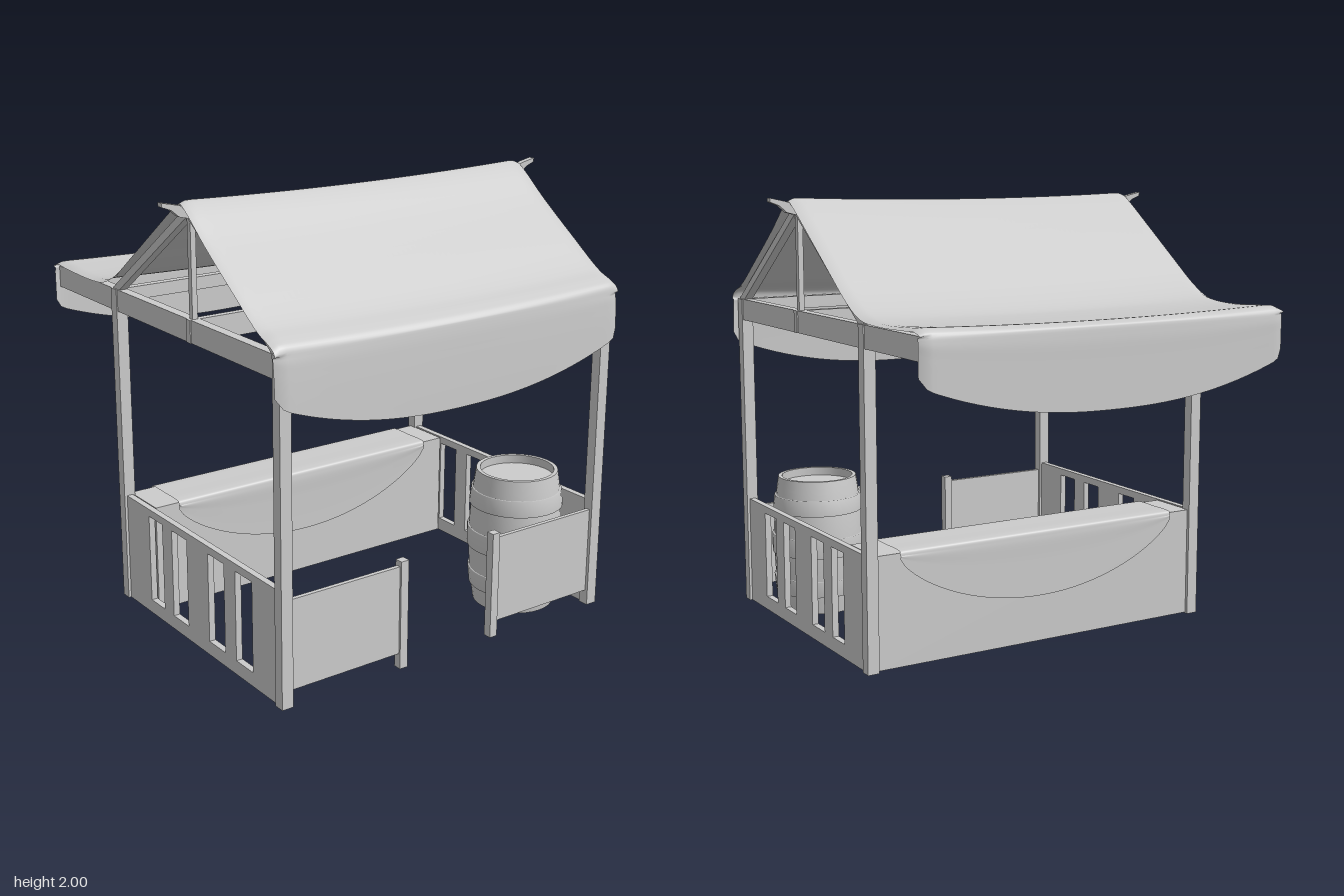
import * as THREE from 'three';

const grey = new THREE.MeshStandardMaterial({ color: 0xcccccc });
const thin = new THREE.MeshStandardMaterial({ color: 0xcccccc, side: THREE.DoubleSide });

export function createModel() {
  const root = new THREE.Group();

  const add = (name, geometry, material = grey) => {
    const mesh = new THREE.Mesh(geometry, material);
    mesh.name = name;
    root.add(mesh);
    return mesh;
  };

  // Box given by its limits on each axis
  const box = (name, x0, x1, y0, y1, z0, z1) => {
    const mesh = add(name, new THREE.BoxGeometry(Math.abs(x1 - x0), y1 - y0, z1 - z0));
    mesh.position.set((x0 + x1) / 2, (y0 + y1) / 2, (z0 + z1) / 2);
    return mesh;
  };

  // Sloping bar in the side plane between two [z, y] points
  const rafter = (name, x, a, b) => {
    const dz = b[0] - a[0], dy = b[1] - a[1];
    const mesh = add(name, new THREE.BoxGeometry(0.04, 0.035, Math.hypot(dz, dy)));
    mesh.position.set(x, (a[1] + b[1]) / 2, (a[0] + b[0]) / 2);
    mesh.rotation.x = -Math.atan2(dy, dz);
  };

  // Cloth: a [z, y] profile from front to back, swept across x and adjusted by a rule
  const cloth = (name, profile, halfWidth, rule) => {
    const curve = new THREE.CatmullRomCurve3(
      profile.map(([z, y]) => new THREE.Vector3(0, y, z)), false, 'centripetal');
    const geometry = new THREE.PlaneGeometry(1, 1, 64, 120);
    const pos = geometry.attributes.position, uv = geometry.attributes.uv;
    const p = new THREE.Vector3();
    for (let i = 0; i < pos.count; i++) {
      curve.getPoint(uv.getY(i), p);
      p.x = (uv.getX(i) * 2 - 1) * halfWidth;
      rule(p, Math.abs(p.x) / halfWidth);
      pos.setXYZ(i, p.x, p.y, p.z);
    }
    geometry.computeVertexNormals();
    add(name, geometry, thin);
  };

  // Side panel with four window slots, drawn as (z, y)
  const panelShape = new THREE.Shape();
  panelShape.moveTo(-0.37, 0).lineTo(0.89, 0).lineTo(0.89, 0.515).lineTo(-0.37, 0.515).closePath();
  for (const [a, b] of [[0.57, 0.70], [0.35, 0.48], [0.04, 0.17], [-0.165, -0.045]]) {
    const slot = new THREE.Path();
    slot.moveTo(a, 0.065).lineTo(a, 0.48).lineTo(b, 0.48).lineTo(b, 0.065).closePath();
    panelShape.holes.push(slot);
  }

  for (const s of [-1, 1]) {
    const side = s > 0 ? 'left' : 'right';
    // Posts and side frame
    box(side + 'FrontPost', s * 0.83, s * 0.885, 0, 1.5, 0.89, 0.94);
    box(side + 'BackPost', s * 0.83, s * 0.885, 0, 1.5, -0.42, -0.37);
    box(side + 'SideBeam', s * 0.835, s * 0.88, 1.4, 1.5, -0.95, 0.935);
    box(side + 'KingPost', s * 0.845, s * 0.87, 1.4, 1.95, 0.248, 0.274);
    rafter(side + 'FrontRafter', s * 0.857, [0.92, 1.49], [0.26, 1.95]);
    rafter(side + 'BackRafter', s * 0.857, [-0.4, 1.49], [0.26, 1.95]);

    // Slotted side panel
    const panel = new THREE.ExtrudeGeometry(panelShape, { depth: 0.03, bevelEnabled: false });
    panel.rotateY(-Math.PI / 2);
    add(side + 'SidePanel', panel).position.x = s * 0.857 + 0.015;

    // Low front fence with its gate post
    box(side + 'FrontPanel', s * 0.27, s * 0.835, 0.07, 0.475, 0.905, 0.925);
    box(side + 'GatePost', s * 0.235, s * 0.275, 0, 0.5, 0.895, 0.935);
  }

  // Cross beams
  box('middleCrossBeam', -0.885, 0.885, 1.4, 1.5, 0.245, 0.277);
  box('frontCrossBeam', -0.84, 0.84, 1.44, 1.5, 0.895, 0.93);
  box('backCrossBeam', -0.84, 0.84, 1.44, 1.5, -0.415, -0.375);

  // Ridge pole with tapered, upturned ends
  const half = [[0.84, 1.915], [0.92, 1.935], [0.955, 1.965], [1, 1.982], [1, 2], [0.93, 1.985], [0.86, 1.965]];
  const ridge = new THREE.Shape(
    [...half, ...half.map(([x, y]) => [-x, y]).reverse()].map(([x, y]) => new THREE.Vector2(x, y)));
  add('ridgePole', new THREE.ExtrudeGeometry(ridge, { depth: 0.03, bevelEnabled: false }))
    .position.z = 0.246;

  // Roof cloth: sags in the middle, curls down at the sides, scalloped hems front and back
  cloth('roofCloth', [
    [0.965, 1.14], [0.962, 1.26], [0.958, 1.38], [0.952, 1.48], [0.94, 1.535], [0.9, 1.56], [0.83, 1.59],
    [0.65, 1.715], [0.45, 1.86], [0.3, 1.98], [0.26, 2], [0.22, 1.98], [0.05, 1.86], [-0.15, 1.715],
    [-0.32, 1.595], [-0.42, 1.545], [-0.52, 1.525], [-0.65, 1.52], [-0.82, 1.53], [-0.91, 1.533],
    [-0.945, 1.515], [-0.955, 1.46], [-0.956, 1.36], [-0.956, 1.26], [-0.956, 1.15],
  ], 0.91, (p, t) => {
    const curl = Math.max(0, (t - 0.95) / 0.05) ** 2;
    if (p.y < 1.5) {
      const drop = 1 - 0.45 * t ** 2.3 - 0.1 * curl;
      p.y = 1.5 - (1.5 - p.y) * drop;
      p.z *= 1 - 0.02 * curl;
    } else {
      const fade = Math.min(1, (p.y - 1.5) / 0.03);
      p.y -= fade * (0.018 * (1 - t * t) + 0.015 * curl);
    }
  });

  // Counter and the cloth laid over it
  box('counter', -0.835, 0.835, 0.005, 0.512, -0.405, -0.165);
  cloth('counterCloth', [
    [-0.155, 0.22], [-0.155, 0.3], [-0.154, 0.4], [-0.153, 0.49], [-0.16, 0.517], [-0.185, 0.522],
    [-0.285, 0.522], [-0.385, 0.522], [-0.408, 0.517], [-0.414, 0.49], [-0.414, 0.4], [-0.414, 0.3], [-0.414, 0.22],
  ], 0.72, (p, t) => {
    if (p.y < 0.5) p.y = 0.5 - (0.5 - p.y) * (0.06 + 0.94 * (1 - t * t) ** 0.75);
  });

  // Barrel: bulging staves, recessed lid and raised hoops
  const barrel = new THREE.Group();
  barrel.name = 'barrel';
  barrel.position.set(0.61, 0, 0.665);
  root.add(barrel);
  const radius = y => 0.215 - 0.027 * ((y - 0.325) / 0.325) ** 2;
  const lathe = (name, points) => {
    const mesh = new THREE.Mesh(
      new THREE.LatheGeometry(points.map(([r, y]) => new THREE.Vector2(r, y)), 32), thin);
    mesh.name = name;
    barrel.add(mesh);
  };
  const staves = [];
  for (let i = 0; i <= 12; i++) staves.push([radius(i * 0.65 / 12), i * 0.65 / 12]);
  lathe('barrelStaves', staves);
  lathe('barrelBottom', [[0, 0.003], [radius(0), 0.003]]);
  lathe('barrelRim', [[radius(0.65), 0.65], [0.17, 0.65]]);
  lathe('barrelRecess', [[0.17, 0.65], [0.172, 0.61]]);
  lathe('barrelLid', [[0.172, 0.61], [0, 0.61]]);
  for (const [a, b] of [[0.085, 0.165], [0.28, 0.37], [0.485, 0.56]]) {
    const ra = radius(a), rb = radius(b);
    lathe('barrelHoop', [[ra, a], [ra + 0.008, a], [rb + 0.008, b], [rb, b]]);
  }

  return root;
}
